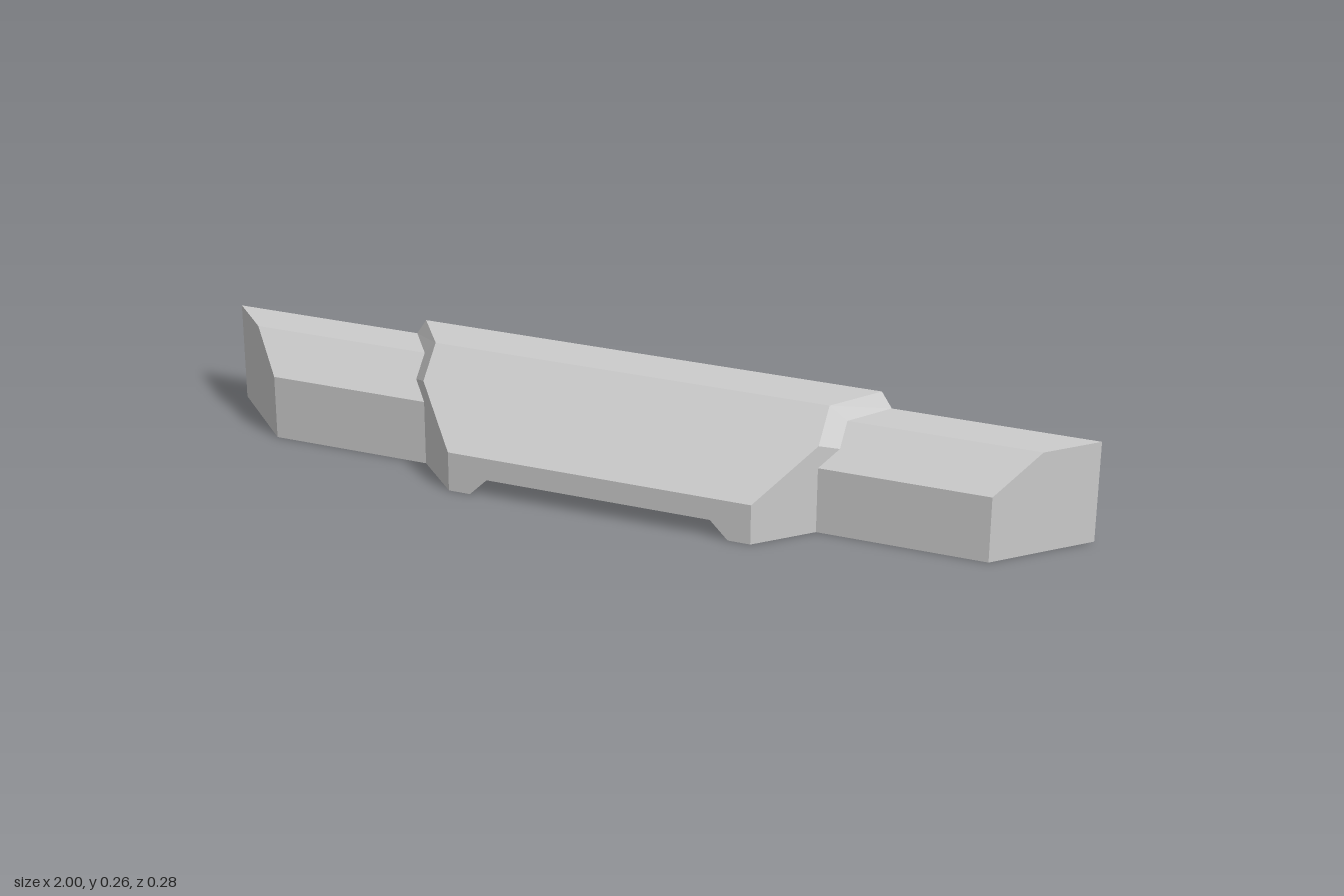
import * as THREE from 'three';

const BACK = -0.142;
const HOLE = { x: 0.525, y: 0.11, r: 0.04, depth: 0.12 };

// Corners of the +x half; the other half is mirrored.
const P = {
  // outer end of the side bar
  endBackLow: [1, 0, BACK], endBackTop: [1, 0.227, BACK],
  endFrontLow: [0.823, 0, 0.035], endFrontMid: [0.823, 0.147, 0.035], endTop: [0.903, 0.227, -0.045],
  // where the bar meets the centre block
  seamLow: [0.452, 0, 0.035], seamMid: [0.452, 0.147, 0.035], seamBend: [0.487, 0.182, 0],
  seamTop: [0.487, 0.227, -0.045], seamBack: [0.553, 0.227, BACK],
  // centre block
  topBack: [0.53, 0.262, BACK], topFront: [0.452, 0.262, -0.03], slopeMid: [0.452, 0.197, 0.035],
  noseTop: [0.345, 0.09, 0.142], noseLow: [0.345, 0, 0.142],
  // notch under the block
  notchFrontLow: [0.295, 0, 0.142], notchFrontTop: [0.255, 0.04, 0.142],
  notchMidLow: [0.295, 0, -0.015], notchMidTop: [0.255, 0.04, -0.015],
  notchBackLow: [0.385, 0, BACK], notchBackTop: [0.265, 0.167, BACK],
};
const mid = (name) => [0, P[name][1], P[name][2]];

// Fans each polygon into triangles, turned towards its outward direction, and mirrors it.
function mirroredFaces(faces) {
  const pos = [];
  for (const [outward, ...corners] of faces) {
    const v = corners.map((c) => new THREE.Vector3(...(typeof c === 'string' ? P[c] : c)));
    const out = new THREE.Vector3(...outward);
    const normal = new THREE.Vector3();
    v.forEach((a, i) => normal.add(a.clone().cross(v[(i + 1) % v.length])));
    if (normal.dot(out) < 0) v.reverse().unshift(v.pop());
    for (let i = 1; i < v.length - 1; i++) {
      const tri = [v[0], v[i], v[i + 1]];
      for (const p of tri) pos.push(p.x, p.y, p.z);
      for (const p of tri.reverse()) pos.push(-p.x, p.y, p.z);
    }
  }
  const g = new THREE.BufferGeometry();
  g.setAttribute('position', new THREE.Float32BufferAttribute(pos, 3));
  g.computeVertexNormals();
  return g;
}

export function createModel() {
  const group = new THREE.Group();
  const flat = new THREE.MeshStandardMaterial({ color: 0xcccccc, flatShading: true });
  const smooth = new THREE.MeshStandardMaterial({ color: 0xcccccc, side: THREE.DoubleSide });
  const add = (name, geometry, material = flat) => {
    const mesh = new THREE.Mesh(geometry, material);
    mesh.name = name;
    group.add(mesh);
    return mesh;
  };

  // Side bars with mitred ends and a chamfered upper front edge
  add('sideBars', mirroredFaces([
    [[1, 0, 1], 'endBackLow', 'endBackTop', 'endTop', 'endFrontMid', 'endFrontLow'],
    [[0, 0, 1], 'endFrontLow', 'endFrontMid', 'seamMid', 'seamLow'],
    [[0, 1, 1], 'endFrontMid', 'endTop', 'seamTop', 'seamBend', 'seamMid'],
    [[0, 1, 0], 'endBackTop', 'endTop', 'seamTop', 'seamBack'],
  ]));

  // Raised centre block: top, long slope, nose and angled flanks
  add('centreBlock', mirroredFaces([
    [[0, 1, 0], 'topBack', 'topFront', mid('topFront'), mid('topBack')],
    [[0, 1, 1], 'topFront', 'slopeMid', 'noseTop', mid('noseTop'), mid('topFront')],
    [[0, 0, 1], 'notchFrontTop', 'notchFrontLow', 'noseLow', 'noseTop', mid('noseTop'), mid('notchFrontTop')],
    [[1, 0, 1], 'slopeMid', 'noseTop', 'noseLow', 'seamLow', 'seamMid', 'seamBend'],
  ]));

  // Bevelled step from the block down to the bars
  add('stepBevels', mirroredFaces([
    [[1, 1, 0.5], 'seamBack', 'seamTop', 'topFront', 'topBack'],
    [[1, 1, 1], 'seamTop', 'seamBend', 'slopeMid', 'topFront'],
  ]));

  // Notch below: shallow at the front, flaring up and out to the back
  add('notch', mirroredFaces([
    [[0, -1, -1], mid('notchBackTop'), 'notchBackTop', 'notchMidTop', mid('notchMidTop')],
    [[0, -1, 0], mid('notchMidTop'), 'notchMidTop', 'notchFrontTop', mid('notchFrontTop')],
    [[-1, -1, 0], 'notchMidTop', 'notchFrontTop', 'notchFrontLow', 'notchMidLow'],
    [[-1, -1, -1], 'notchBackTop', 'notchMidTop', 'notchMidLow', 'notchBackLow'],
  ]));

  add('underside', mirroredFaces([
    [[0, -1, 0], 'seamLow', 'endFrontLow', 'endBackLow', 'notchBackLow', 'notchMidLow', 'notchFrontLow', 'noseLow'],
  ]));

  // Flat back with two round holes
  const half = ['notchBackTop', 'notchBackLow', 'endBackLow', 'endBackTop', 'seamBack', 'topBack'];
  const right = half.map((n) => new THREE.Vector2(P[n][0], P[n][1]));
  const left = right.map((p) => new THREE.Vector2(-p.x, p.y)).reverse();
  const outline = new THREE.Shape([...right, ...left]);
  for (const s of [-1, 1]) {
    outline.holes.push(new THREE.Path().absarc(s * HOLE.x, HOLE.y, HOLE.r, 0, Math.PI * 2, true));
  }
  const back = new THREE.ShapeGeometry(outline, 16);
  back.rotateY(Math.PI).translate(0, 0, BACK);
  add('backFace', back);

  // Blind bores behind the holes
  for (const s of [-1, 1]) {
    const wall = new THREE.CylinderGeometry(HOLE.r, HOLE.r, HOLE.depth, 32, 1, true);
    wall.rotateX(Math.PI / 2);
    add('boreWall', wall, smooth).position.set(s * HOLE.x, HOLE.y, BACK + HOLE.depth / 2);
    const floor = new THREE.CircleGeometry(HOLE.r, 32).rotateY(Math.PI);
    add('boreFloor', floor).position.set(s * HOLE.x, HOLE.y, BACK + HOLE.depth);
  }
  return group;
}
